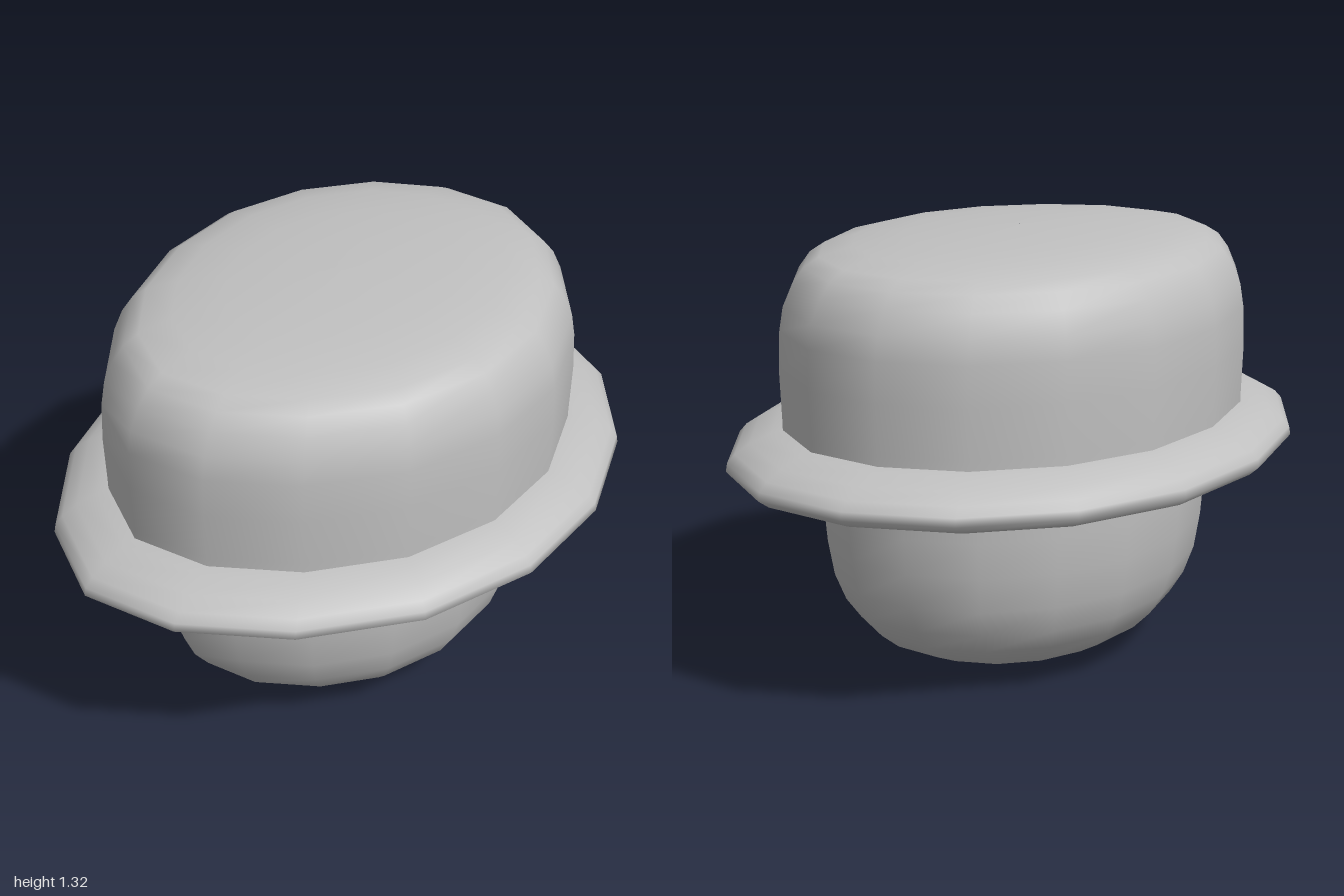
import * as THREE from 'three';

// Slightly skewed 16-sided oval shared by every part, as x, z pairs at full brim size
const OVAL = [
  [-0.01, -1], [0.29, -0.9], [0.55, -0.67], [0.735, -0.35],
  [0.8, 0.01], [0.735, 0.38], [0.545, 0.7], [0.285, 0.92],
  [-0.01, 1], [-0.305, 0.88], [-0.56, 0.625], [-0.735, 0.28],
  [-0.8, -0.1], [-0.735, -0.455], [-0.56, -0.75], [-0.305, -0.94],
];

// Stack scaled ovals along a [scale, height] profile running bottom to top
function ovalLoft(profile) {
  const n = OVAL.length;
  const positions = [];
  const indices = [];
  profile.forEach(([scale, y], ring) => {
    OVAL.forEach(([x, z], j) => {
      positions.push(x * scale, y, z * scale);
      if (ring === profile.length - 1) return;
      const a = ring * n + j;
      const b = ring * n + ((j + 1) % n);
      indices.push(a, a + n, b, b, a + n, b + n);
    });
  });
  const geometry = new THREE.BufferGeometry();
  geometry.setAttribute('position', new THREE.Float32BufferAttribute(positions, 3));
  geometry.setIndex(indices);
  geometry.computeVertexNormals();
  return geometry;
}

export function createModel() {
  const group = new THREE.Group();
  group.name = 'bowlerHat';
  const grey = new THREE.MeshStandardMaterial({ color: 0xc0c0c0 });
  grey.name = 'grey';

  const add = (name, profile) => {
    const mesh = new THREE.Mesh(ovalLoft(profile), grey);
    mesh.name = name;
    group.add(mesh);
  };

  // Rounded head below the brim
  add('head', [
    [0.001, 0.004], [0.15, 0.012], [0.27, 0.023], [0.395, 0.05], [0.5, 0.098],
    [0.565, 0.15], [0.615, 0.215], [0.652, 0.3], [0.673, 0.41], [0.683, 0.52], [0.685, 0.65],
  ]);

  // Brim with a flat underside and rounded rim
  add('brim', [
    [0.55, 0.586], [0.7, 0.59], [0.8, 0.6], [0.9, 0.619], [0.965, 0.64],
    [1, 0.665], [0.995, 0.69], [0.97, 0.715], [0.92, 0.742], [0.85, 0.765],
    [0.77, 0.777], [0.65, 0.78],
  ]);

  // Crown with a gently domed top
  add('crown', [
    [0.81, 0.7], [0.812, 0.8], [0.818, 0.95], [0.813, 1.07], [0.8, 1.14],
    [0.768, 1.205], [0.73, 1.25], [0.68, 1.278], [0.57, 1.302],
    [0.4, 1.317], [0.2, 1.325], [0.001, 1.327],
  ]);

  return group;
}
